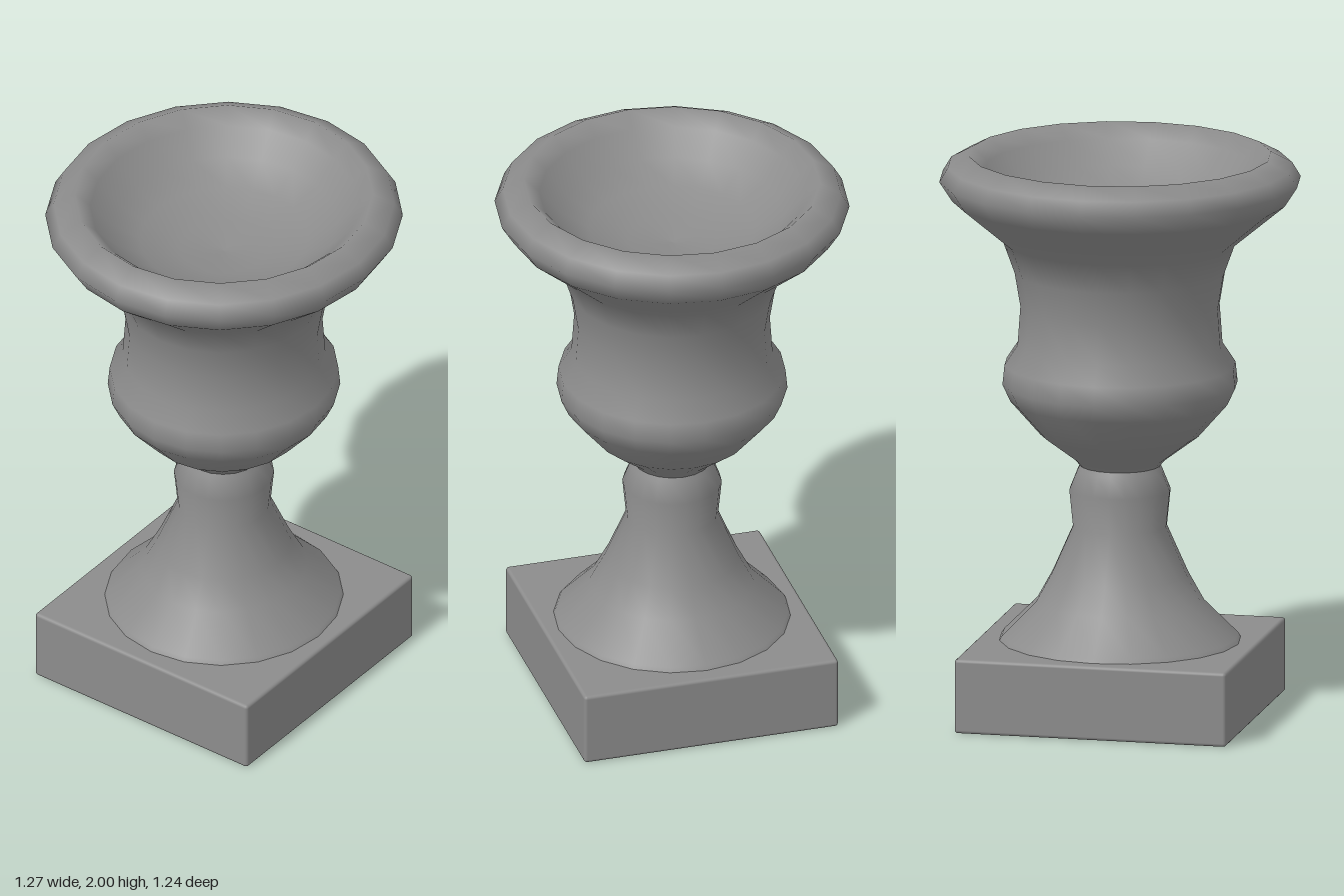
import * as THREE from 'three';
import { RoundedBoxGeometry } from 'three/addons/geometries/RoundedBoxGeometry.js';

const stone = new THREE.MeshStandardMaterial({ color: 0x8c8c8c });
stone.name = 'grey stone';

// Turned part from [radius, height] pairs; slightly narrower front to back
function turned(name, profile) {
  const points = profile.map(([r, y]) => new THREE.Vector2(r, y));
  const mesh = new THREE.Mesh(new THREE.LatheGeometry(points, 20), stone);
  mesh.name = name;
  mesh.scale.z = 0.975;
  return mesh;
}

export function createModel() {
  const urn = new THREE.Group();
  urn.name = 'gardenUrn';

  // Square plinth with softened edges
  const plinth = new THREE.Mesh(new RoundedBoxGeometry(0.974, 0.265, 0.926, 2, 0.012), stone);
  plinth.name = 'plinth';
  plinth.position.y = 0.1325;
  urn.add(plinth);

  // Flared foot rising to the collar under the bowl
  urn.add(turned('foot', [
    [0.43, 0.255], [0.415, 0.28], [0.295, 0.4], [0.24, 0.5],
    [0.165, 0.67], [0.178, 0.8], [0.15, 0.87], [0.135, 0.9],
  ]));

  // Bulging bowl, flared neck, rolled rim and shallow dished inside
  urn.add(turned('bowl', [
    [0.135, 0.88], [0.16, 0.91], [0.28, 1.0], [0.385, 1.12],
    [0.413, 1.18], [0.406, 1.25], [0.36, 1.32], [0.35, 1.46],
    [0.37, 1.58], [0.41, 1.69], [0.59, 1.84], [0.635, 1.91],
    [0.605, 1.96], [0.53, 2.0], [0.475, 1.95], [0.4, 1.87],
    [0.3, 1.81], [0.16, 1.77], [0, 1.755],
  ]));

  return urn;
}
